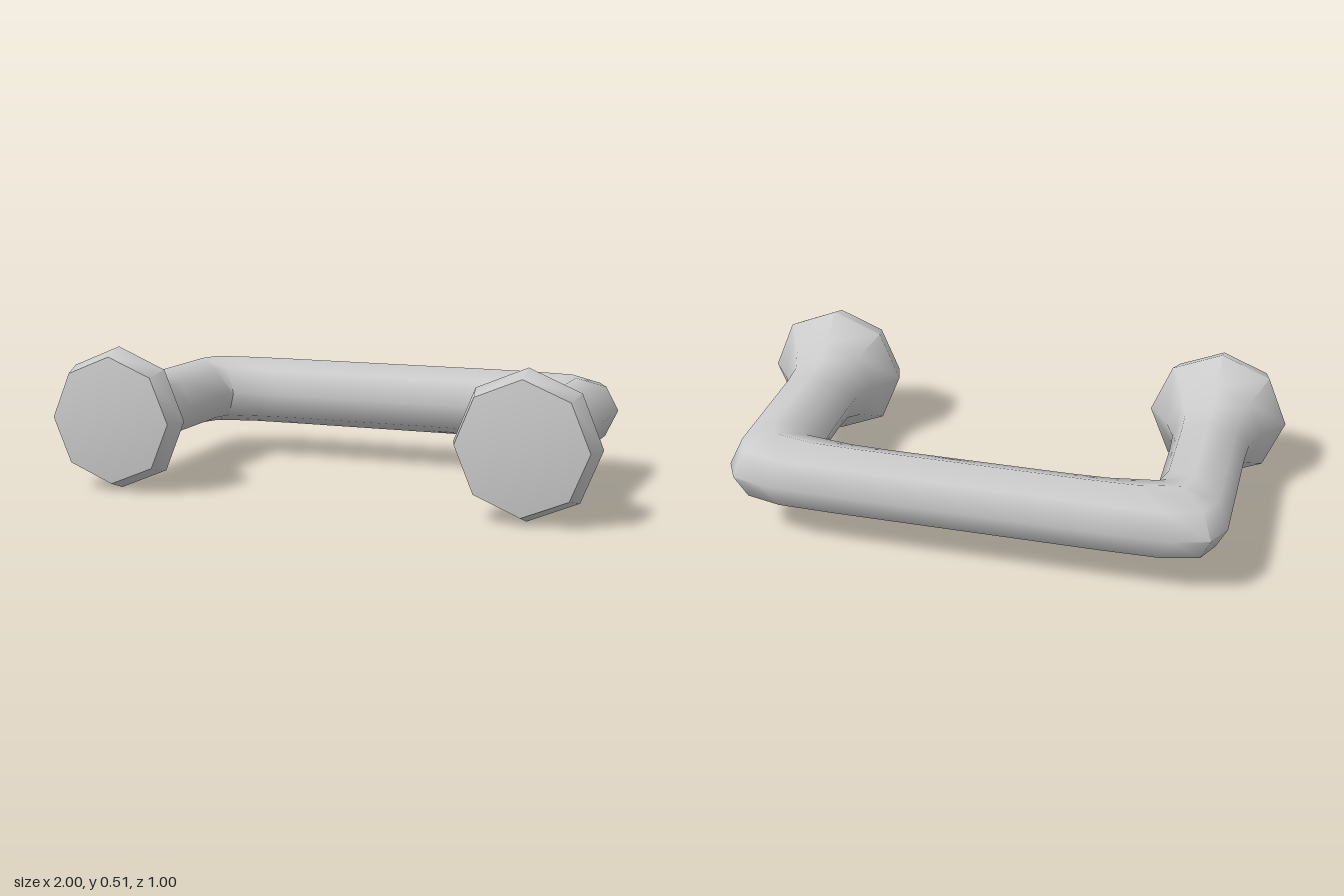
import * as THREE from 'three';
import { toCreasedNormals } from 'three/addons/utils/BufferGeometryUtils.js';

const SIDES = 8;
const CENTRE_Y = 0.26;
const LEG_X = 0.748;

// A leg section square to the leg: [outer x, outer z, inner x, inner z, half height]
const legRing = (z, r, rx = r) => [LEG_X + rx, z, LEG_X - rx, z, r];

// Sections of the left half, from the foot to the middle of the bar
const halfRings = [
  legRing(0.47, 0.227),
  legRing(0.39, 0.255, 0.252),
  legRing(0.285, 0.175),
  legRing(0.2, 0.134, 0.14),
  legRing(0.1, 0.128, 0.135),
  [0.885, -0.38, 0.613, -0.17, 0.128],
  [0.84, -0.465, 0.597, -0.235, 0.129],
  [0.72, -0.5, 0.42, -0.258, 0.128],
  [0.5, -0.504, 0.3, -0.263, 0.128],
];

function createHandleGeometry() {
  const mirrored = halfRings.map(([ox, oz, ix, iz, h]) => [-ox, oz, -ix, iz, h]).reverse();
  const rings = [...halfRings, ...mirrored];
  const positions = [];
  const indices = [];

  for (const [ox, oz, ix, iz, h] of rings) {
    for (let j = 0; j < SIDES; j++) {
      const a = (j / SIDES) * Math.PI * 2;
      const c = Math.cos(a) / 2;
      positions.push(
        (ox + ix) / 2 + c * (ox - ix),
        CENTRE_Y + Math.sin(a) * h,
        (oz + iz) / 2 + c * (oz - iz)
      );
    }
  }

  // Skin between neighbouring sections
  for (let i = 0; i < rings.length - 1; i++) {
    for (let j = 0; j < SIDES; j++) {
      const k = (j + 1) % SIDES;
      const a = i * SIDES + j, b = i * SIDES + k;
      indices.push(a, a + SIDES, b, b, a + SIDES, b + SIDES);
    }
  }

  // Shallow pointed caps on both feet
  const apex = rings.length * SIDES;
  const last = (rings.length - 1) * SIDES;
  positions.push(LEG_X, CENTRE_Y, 0.5, -LEG_X, CENTRE_Y, 0.5);
  for (let j = 0; j < SIDES; j++) {
    const k = (j + 1) % SIDES;
    indices.push(apex, j, k, apex + 1, last + k, last + j);
  }

  const geometry = new THREE.BufferGeometry();
  geometry.setAttribute('position', new THREE.Float32BufferAttribute(positions, 3));
  geometry.setIndex(indices);
  return toCreasedNormals(geometry, THREE.MathUtils.degToRad(60));
}

export function createModel() {
  const group = new THREE.Group();
  group.name = 'pullHandle';
  const handle = new THREE.Mesh(
    createHandleGeometry(),
    new THREE.MeshStandardMaterial({ color: 0xcccccc })
  );
  handle.name = 'handleBarWithFlaredFeet';
  group.add(handle);
  return group;
}
